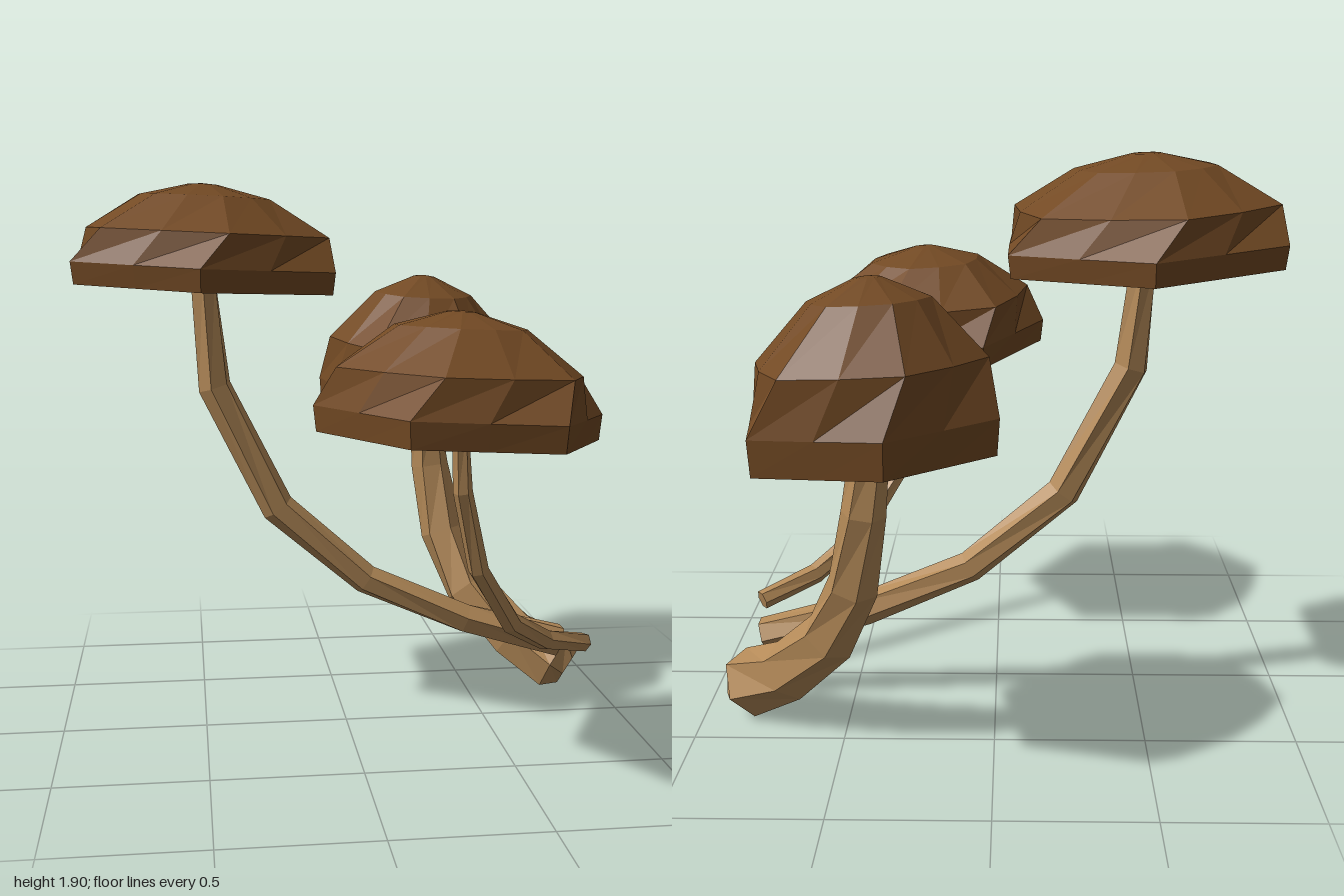
import * as THREE from 'three';

const capBrown = new THREE.MeshStandardMaterial({ color: 0x734a24, flatShading: true });
capBrown.name = 'cap brown';
const stemTan = new THREE.MeshStandardMaterial({ color: 0xb48a58, flatShading: true });
stemTan.name = 'stem tan';

// Closed faceted skin over rings of equal point count, with a fan at each end
function loft(rings, start, end) {
  const n = rings[0].length;
  const pos = [];
  const tri = (...pts) => pts.forEach((p) => pos.push(p.x, p.y, p.z));
  for (let i = 0; i < n; i++) {
    const j = (i + 1) % n;
    for (let k = 0; k + 1 < rings.length; k++) {
      const lo = rings[k], up = rings[k + 1];
      tri(lo[i], lo[j], up[j]);
      tri(lo[i], up[j], up[i]);
    }
    const last = rings[rings.length - 1];
    tri(rings[0][j], rings[0][i], start);
    tri(last[i], last[j], end);
  }
  const geo = new THREE.BufferGeometry();
  geo.setAttribute('position', new THREE.Float32BufferAttribute(pos, 3));
  geo.computeVertexNormals();
  return geo;
}

// Cap rings: height fraction, scale, twist, bulge of the edge midpoints
const capRings = [
  [0, 0.98, 0, 1],
  [0.21, 1, 0, 1.005],
  [0.53, 0.88, 0.2, 1.06],
  [0.87, 0.46, 0.3, 1.1],
  [0.99, 0.1, 0.4, 1.1],
];

// Hexagonal dome with a flat, slightly tilted underside
function makeCap({ corners, base, height, tilt }) {
  const cx = corners.reduce((s, c) => s + c[0], 0) / 6;
  const cz = corners.reduce((s, c) => s + c[1], 0) / 6;
  const point = (x, z, h) =>
    new THREE.Vector3(cx + x, base + h * height + tilt[0] * x + tilt[1] * z, cz + z);
  const rings = capRings.map(([h, scale, twist, bulge]) => {
    const ring = [];
    const c = Math.cos(twist) * scale, s = Math.sin(twist) * scale;
    corners.forEach(([ax, az], i) => {
      const [bx, bz] = corners[(i + 1) % 6];
      const mid = [((ax + bx) / 2 - cx) * bulge, ((az + bz) / 2 - cz) * bulge];
      for (const [x, z] of [[ax - cx, az - cz], mid]) {
        ring.push(point(x * c + z * s, z * c - x * s, h));
      }
    });
    return ring;
  });
  return loft(rings, point(0, 0, 0), point(0, 0, 1));
}

// Bent six-sided stem along points [x, y, z, radius], from root to cap
function makeStem(path, sides = 6) {
  const pts = path.map(([x, y, z]) => new THREE.Vector3(x, y, z));
  const n = pts.length;
  const dir = (a, b) => pts[b].clone().sub(pts[a]).normalize();
  const planeNormal = dir(0, 1).cross(dir(n - 2, n - 1)).normalize();
  const rings = pts.map((p, k) => {
    const t = dir(Math.max(k - 1, 0), Math.min(k + 1, n - 1));
    const u = planeNormal.clone().addScaledVector(t, -planeNormal.dot(t)).normalize();
    const v = t.clone().cross(u);
    const r = path[k][3];
    return Array.from({ length: sides }, (_, i) => {
      const a = (i / sides) * Math.PI * 2 + k * 0.2;
      return p.clone().addScaledVector(u, r * Math.cos(a)).addScaledVector(v, r * Math.sin(a));
    });
  });
  return loft(rings, pts[0], pts[n - 1]);
}

const mushrooms = [
  {
    name: 'tallMushroom',
    cap: {
      corners: [[-0.5, 0.37], [-0.05, 0.13], [-0.04, -0.39], [-0.47, -0.69], [-0.9, -0.44], [-0.92, 0.09]],
      base: 1.59, height: 0.355, tilt: [-0.045, 0],
    },
    stem: [
      [0.82, 0.265, -0.155, 0.062], [0.46, 0.365, -0.15, 0.058], [0.09, 0.525, -0.15, 0.055],
      [-0.23, 0.8, -0.15, 0.06], [-0.45, 1.24, -0.15, 0.06], [-0.485, 1.62, -0.15, 0.048],
    ],
  },
  {
    name: 'frontMushroom',
    cap: {
      corners: [[0.51, 0.99], [0.73, 0.59], [0.51, 0.17], [0.05, 0.15], [-0.17, 0.57], [0.06, 0.98]],
      base: 1.16, height: 0.385, tilt: [-0.045, 0.03],
    },
    stem: [
      [0.86, 0.315, 0.04, 0.035], [0.68, 0.37, 0.17, 0.037], [0.52, 0.48, 0.32, 0.037],
      [0.37, 0.71, 0.48, 0.034], [0.3, 0.98, 0.555, 0.031], [0.285, 1.18, 0.575, 0.027],
    ],
  },
  {
    name: 'backMushroom',
    cap: {
      corners: [[0.45, -0.19], [0.76, -0.47], [0.7, -0.89], [0.3, -1], [-0.02, -0.72], [0.05, -0.31]],
      base: 1.07, height: 0.545, tilt: [-0.045, -0.06],
    },
    stem: [
      [0.89, 0.12, -0.265, 0.07], [0.85, 0.145, -0.285, 0.12], [0.7, 0.23, -0.37, 0.105],
      [0.54, 0.4, -0.47, 0.095], [0.45, 0.61, -0.55, 0.085], [0.405, 0.87, -0.595, 0.072],
      [0.38, 1.1, -0.59, 0.06],
    ],
  },
];

export function createModel() {
  const model = new THREE.Group();
  model.name = 'mushroomCluster';
  for (const { name, cap, stem } of mushrooms) {
    const group = new THREE.Group();
    group.name = name;
    const capMesh = new THREE.Mesh(makeCap(cap), capBrown);
    capMesh.name = 'cap';
    const stemMesh = new THREE.Mesh(makeStem(stem), stemTan);
    stemMesh.name = 'stem';
    group.add(capMesh, stemMesh);
    model.add(group);
  }
  return model;
}
